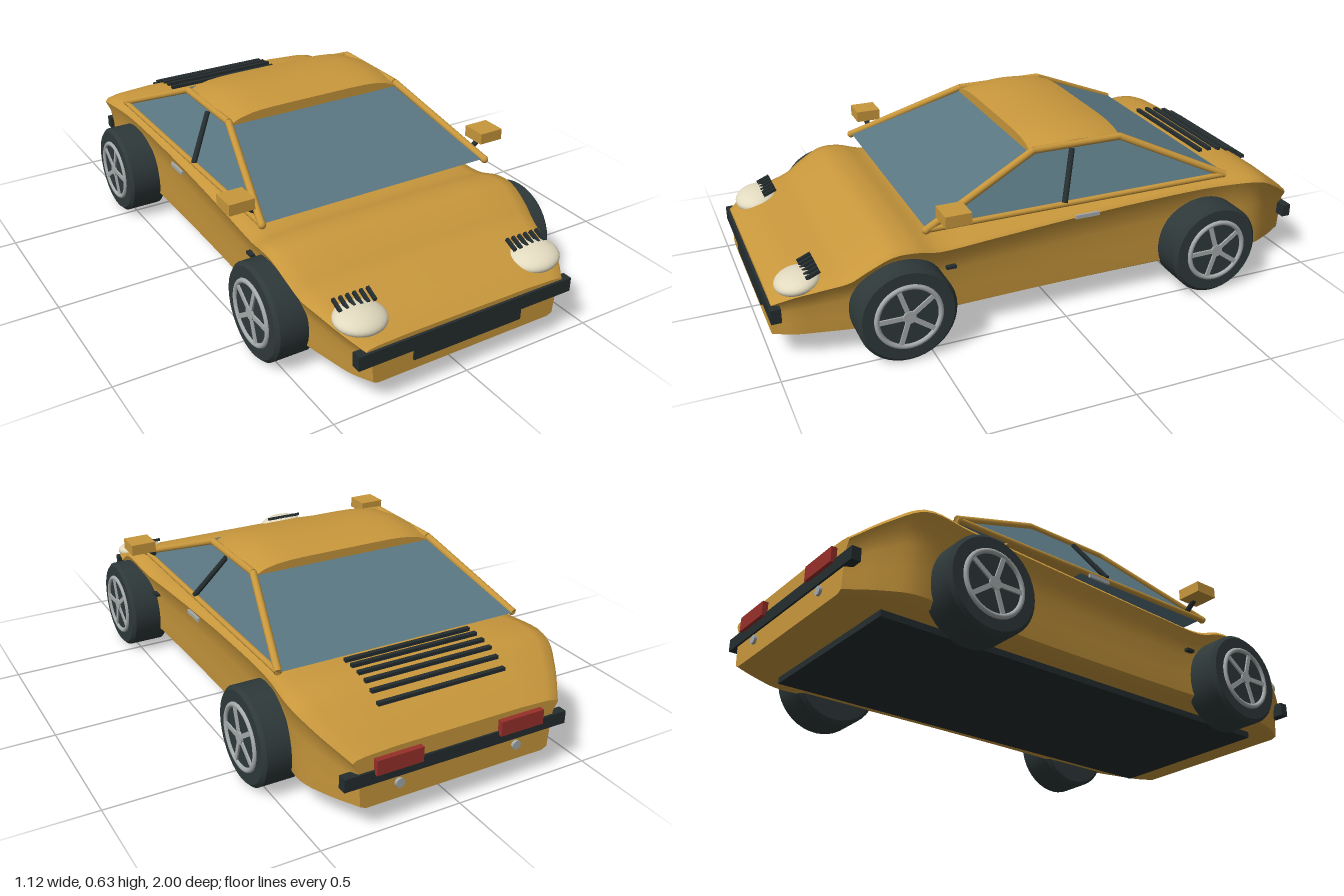
import * as THREE from 'three';
import { toCreasedNormals } from 'three/addons/utils/BufferGeometryUtils.js';

const mat = (name, color, side = THREE.FrontSide) => {
  const m = new THREE.MeshStandardMaterial({ color, side });
  m.name = name;
  return m;
};

export function createModel() {
  const gold = mat('gold paint', 0xc8973c);
  const glass = mat('tinted glass', 0x5a7782, THREE.DoubleSide);
  const rubber = mat('tyre rubber', 0x2f393a);
  const black = mat('black trim', 0x252d2f);
  const silver = mat('silver metal', 0xa6abab);
  const cream = mat('lamp cream', 0xe2dabf);
  const red = mat('tail red', 0x98302a);

  const car = new THREE.Group();
  car.name = 'sportsCar';
  const V = (x, y, z) => new THREE.Vector3(x, y, z);
  const add = (name, geo, material, parent = car) => {
    const m = new THREE.Mesh(geo, material);
    m.name = name;
    parent.add(m);
    return m;
  };
  const box = (name, material, w, h, d, x, y, z) => {
    const m = add(name, new THREE.BoxGeometry(w, h, d), material);
    m.position.set(x, y, z);
    return m;
  };
  const rod = (name, a, b, r, material, parent = car) => {
    const m = add(name, new THREE.CylinderGeometry(r, r, a.distanceTo(b), 12), material, parent);
    m.position.copy(a).add(b).multiplyScalar(0.5);
    m.quaternion.setFromUnitVectors(V(0, 1, 0), b.clone().sub(a).normalize());
    return m;
  };
  const panel = (name, a, b, c, d) => {
    const g = new THREE.BufferGeometry().setFromPoints([a, b, c, a, c, d]);
    g.computeVertexNormals();
    add(name, g, glass);
  };

  // Body: one cross-section scaled along z; stations are (half width, top height, z)
  const stations = [
    [0.385, 0.225, 0.99], [0.425, 0.262, 0.92], [0.45, 0.285, 0.83], [0.47, 0.306, 0.75],
    [0.482, 0.345, 0.69], [0.49, 0.385, 0.61], [0.488, 0.385, 0.54], [0.475, 0.362, 0.45],
    [0.468, 0.37, 0.25], [0.464, 0.385, 0], [0.464, 0.4, -0.3], [0.472, 0.409, -0.6],
    [0.49, 0.402, -0.78], [0.45, 0.345, -0.88], [0.385, 0.27, -0.98],
  ].map((s) => V(...s));
  const half = [
    [0, 0], [0.87, 0], [0.92, 0.05], [0.93, 0.3], [0.935, 0.58], [0.955, 0.76],
    [0.995, 0.9], [0.97, 0.945], [0.88, 0.975], [0.6, 1], [0, 1],
  ];
  const ring = [...half, ...half.slice(1, -1).reverse().map(([x, y]) => [-x, y])];
  const n = ring.length;
  const rows = new THREE.CatmullRomCurve3(stations).getPoints(70);
  const pos = [], idx = [];
  rows.forEach((r) => ring.forEach(([x, f]) => pos.push(x * r.x, 0.083 + f * (r.y - 0.083), r.z)));
  for (let i = 0; i < rows.length - 1; i++) {
    for (let j = 0; j < n; j++) {
      const a = i * n + j, b = i * n + (j + 1) % n;
      idx.push(a, a + n, b, b, a + n, b + n);
    }
  }
  const last = (rows.length - 1) * n;
  const noseC = pos.length / 3;
  for (const r of [rows[0], rows[rows.length - 1]]) pos.push(0, (r.y + 0.083) / 2, r.z);
  for (let j = 0; j < n; j++) {
    const k = (j + 1) % n;
    idx.push(noseC, j, k, noseC + 1, last + k, last + j);
  }
  const shell = new THREE.BufferGeometry();
  shell.setAttribute('position', new THREE.Float32BufferAttribute(pos, 3));
  shell.setIndex(idx);
  add('body', toCreasedNormals(shell, 0.7), gold);
  box('floorPan', black, 0.665, 0.03, 1.68, 0, 0.075, 0.01);

  // Roof: crowned slab
  const roof = new THREE.BoxGeometry(0.7, 0.04, 0.345, 16, 1, 14);
  const p = roof.attributes.position;
  for (let i = 0; i < p.count; i++) {
    const u = p.getX(i) / 0.35, w = p.getZ(i) / 0.1725;
    p.setY(i, p.getY(i) + 0.585 + 0.025 * (1 - w * w) - 0.033 * u ** 6 * (p.getY(i) > 0 ? 1 : 0.5));
  }
  const roofMesh = add('roof', toCreasedNormals(roof, 0.7), gold);
  roofMesh.position.z = -0.1;

  // Windscreen and rear window
  panel('windscreen', V(-0.45, 0.415, 0.485), V(0.45, 0.415, 0.485), V(0.345, 0.57, 0.07), V(-0.345, 0.57, 0.07));
  panel('rearWindow', V(0.45, 0.415, -0.65), V(-0.45, 0.415, -0.65), V(-0.345, 0.575, -0.27), V(0.345, 0.575, -0.27));

  // Bumpers
  box('frontBumper', black, 0.83, 0.05, 0.035, 0, 0.185, 0.982);
  box('frontIntake', black, 0.42, 0.042, 0.03, 0, 0.141, 0.982);
  box('rearBumper', black, 0.83, 0.045, 0.032, 0, 0.188, -0.971);

  // Engine cover slats
  [[-0.68, 0.417], [-0.72, 0.417], [-0.76, 0.411], [-0.8, 0.402], [-0.837, 0.385], [-0.875, 0.36]]
    .forEach(([z, y]) => box('louvre', black, 0.475, 0.012, 0.015, 0, y, z));

  // Wheel with a ringed five-spoke rim
  const wheel = (s, z) => {
    const g = new THREE.Group();
    g.name = 'wheel';
    const R = 0.168;
    const profile = [[0.001, -0.075], [R - 0.012, -0.075], [R, -0.063], [R, 0.063], [R - 0.012, 0.075], [0.001, 0.075]];
    const tyre = new THREE.LatheGeometry(profile.map(([x, y]) => new THREE.Vector2(x, y)), 40);
    add('tyre', toCreasedNormals(tyre, 0.5), rubber, g);
    const rim = add('rim', new THREE.TorusGeometry(0.108, 0.009, 10, 40), silver, g);
    rim.rotation.x = Math.PI / 2;
    rim.position.y = 0.075;
    add('hub', new THREE.CylinderGeometry(0.022, 0.022, 0.014, 20), silver, g).position.y = 0.076;
    for (let i = 0; i < 5; i++) {
      const a = i * Math.PI * 0.4;
      const spoke = add('spoke', new THREE.BoxGeometry(0.016, 0.012, 0.1), silver, g);
      spoke.position.set(Math.sin(a) * 0.057, 0.075, Math.cos(a) * 0.057);
      spoke.rotation.y = a;
    }
    g.rotation.z = -s * Math.PI / 2;
    g.position.set(s * 0.476, R, z);
    car.add(g);
  };

  // Mirrored parts
  for (const s of [1, -1]) {
    wheel(s, 0.585);
    wheel(s, -0.567);

    // Cabin frame and side glass
    const front = V(s * 0.453, 0.413, 0.487), back = V(s * 0.453, 0.413, -0.645);
    const roofF = V(s * 0.35, 0.582, 0.065), roofB = V(s * 0.35, 0.582, -0.265);
    rod('frontPillar', front, roofF, 0.013, gold);
    rod('rearPillar', back, roofB, 0.013, gold);
    rod('windowSill', front, back, 0.01, gold);
    rod('roofRail', roofF, roofB, 0.013, gold);
    panel('sideWindow', front, back, roofB, roofF);
    rod('centrePillar', V(s * 0.458, 0.42, -0.005), V(s * 0.362, 0.57, -0.075), 0.01, black);
    add('pillarFoot', new THREE.SphereGeometry(0.014, 12, 8), gold).position.copy(front);

    // Mirrors
    box('mirror', gold, 0.093, 0.04, 0.09, s * 0.505, 0.476, 0.41);
    rod('mirrorStalk', V(s * 0.44, 0.425, 0.415), V(s * 0.485, 0.46, 0.415), 0.01, black);

    // Door handle and side marker
    box('doorHandle', silver, 0.008, 0.014, 0.09, s * 0.493, 0.377, -0.075);
    box('sideMarker', black, 0.02, 0.01, 0.035, s * 0.452, 0.262, 0.405);

    // Headlamp with a row of lashes
    const lamp = add('headlamp', new THREE.SphereGeometry(1, 28, 18), cream);
    lamp.scale.set(0.092, 0.036, 0.077);
    lamp.position.set(s * 0.342, 0.262, 0.892);
    lamp.rotation.set(-0.15, 0, s * 0.06);
    lamp.rotation.x = 0.15;
    for (let i = 0; i < 6; i++) {
      const lash = box('lash', black, 0.01, 0.012, 0.05, s * (0.276 + i * 0.025), 0.303, 0.852);
      lash.rotation.x = 0.4;
    }

    // Tail lamp and exhaust
    box('tailLamp', red, 0.165, 0.052, 0.025, s * 0.228, 0.225, -0.987);
    const pipe = add('exhaust', new THREE.CylinderGeometry(0.016, 0.016, 0.05, 16), silver);
    pipe.rotation.x = Math.PI / 2;
    pipe.position.set(s * 0.22, 0.14, -0.965);
  }
  return car;
}
